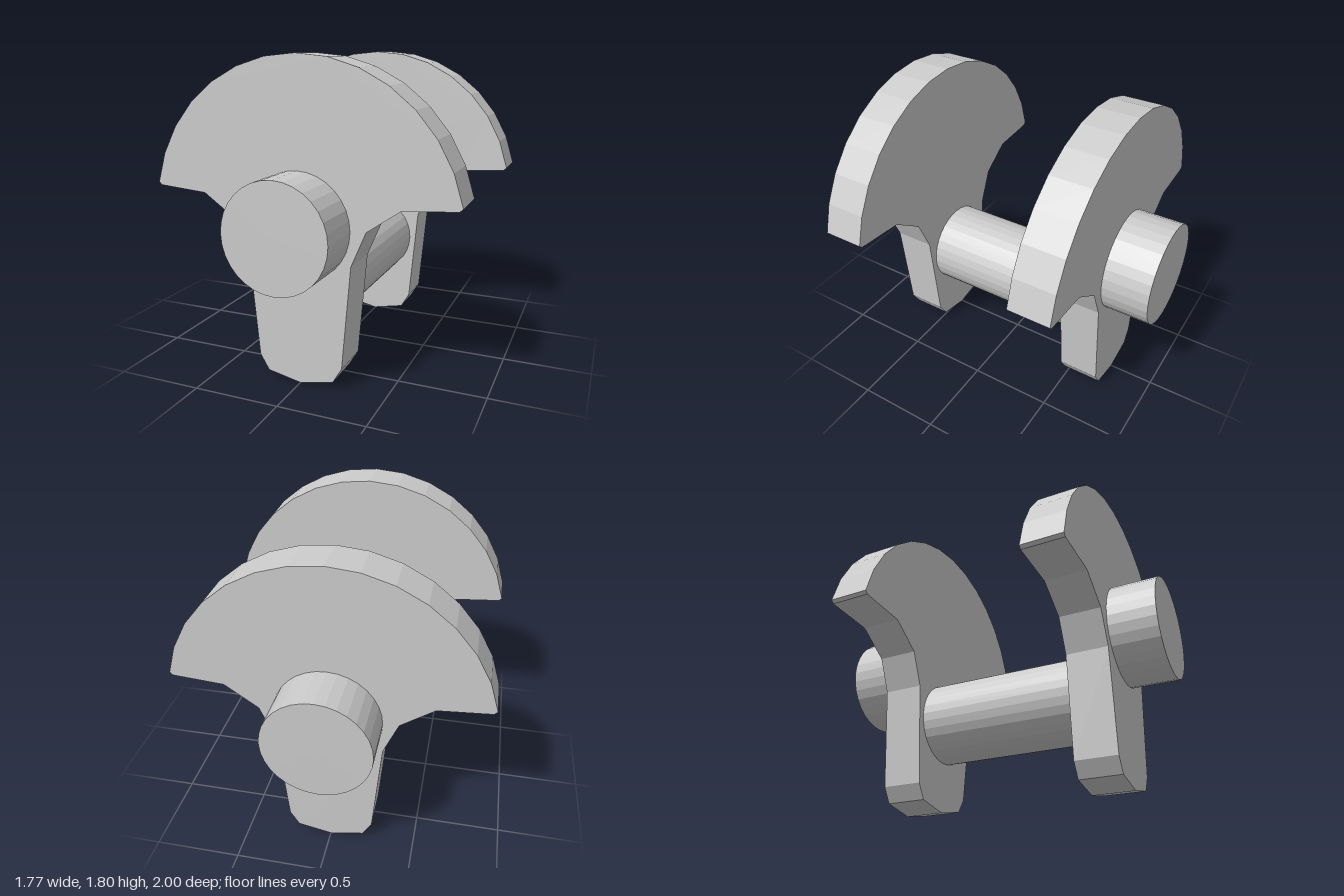
import * as THREE from 'three';

const material = new THREE.MeshStandardMaterial({ color: 0xcccccc, flatShading: true });
const AXIS_Y = 0.903; // main shaft axis
const PIN_Y = 0.553;  // offset pin axis
const WEB_IN = 0.48, WEB_OUT = 0.725;

// Half outline of a web: counterweight arc, shoulder, then tapered arm
function webGeometry() {
  const half = [];
  for (let i = 1; i <= 7; i++) {
    const a = (i * Math.PI) / 16;
    half.push([0.9 * Math.sin(a), AXIS_Y + 0.9 * Math.cos(a)]);
  }
  half.push([0.865, 1.062], [0.575, 1.04], [0.388, 0.91], [0.304, 0.715], [0.25, 0.128], [0.197, 0.04]);
  const mirrored = half.map(([x, y]) => [-x, y]).reverse();
  const outline = [[0, AXIS_Y + 0.9], ...half, [0, 0], ...mirrored];
  const shape = new THREE.Shape(outline.map(([x, y]) => new THREE.Vector2(x, y)));
  return new THREE.ExtrudeGeometry(shape, { depth: WEB_OUT - WEB_IN, bevelEnabled: false });
}

// Faceted cylinder lying along z
function rod(name, radius, y, z0, z1) {
  const geometry = new THREE.CylinderGeometry(radius, radius, z1 - z0, 32).rotateX(Math.PI / 2);
  const mesh = new THREE.Mesh(geometry, material);
  mesh.name = name;
  mesh.position.set(0, y, (z0 + z1) / 2);
  return mesh;
}

export function createModel() {
  const group = new THREE.Group();
  group.name = 'crankshaft';

  // Pair of counterweighted webs
  const web = webGeometry();
  for (const [name, z] of [['frontWeb', WEB_IN], ['backWeb', -WEB_OUT]]) {
    const mesh = new THREE.Mesh(web, material);
    mesh.name = name;
    mesh.position.z = z;
    group.add(mesh);
  }

  // Offset pin between the webs and a main journal at each end
  group.add(
    rod('crankPin', 0.25, PIN_Y, -WEB_IN, WEB_IN),
    rod('frontJournal', 0.3, AXIS_Y, WEB_OUT, 1),
    rod('backJournal', 0.3, AXIS_Y, -1, -WEB_OUT)
  );
  return group;
}
